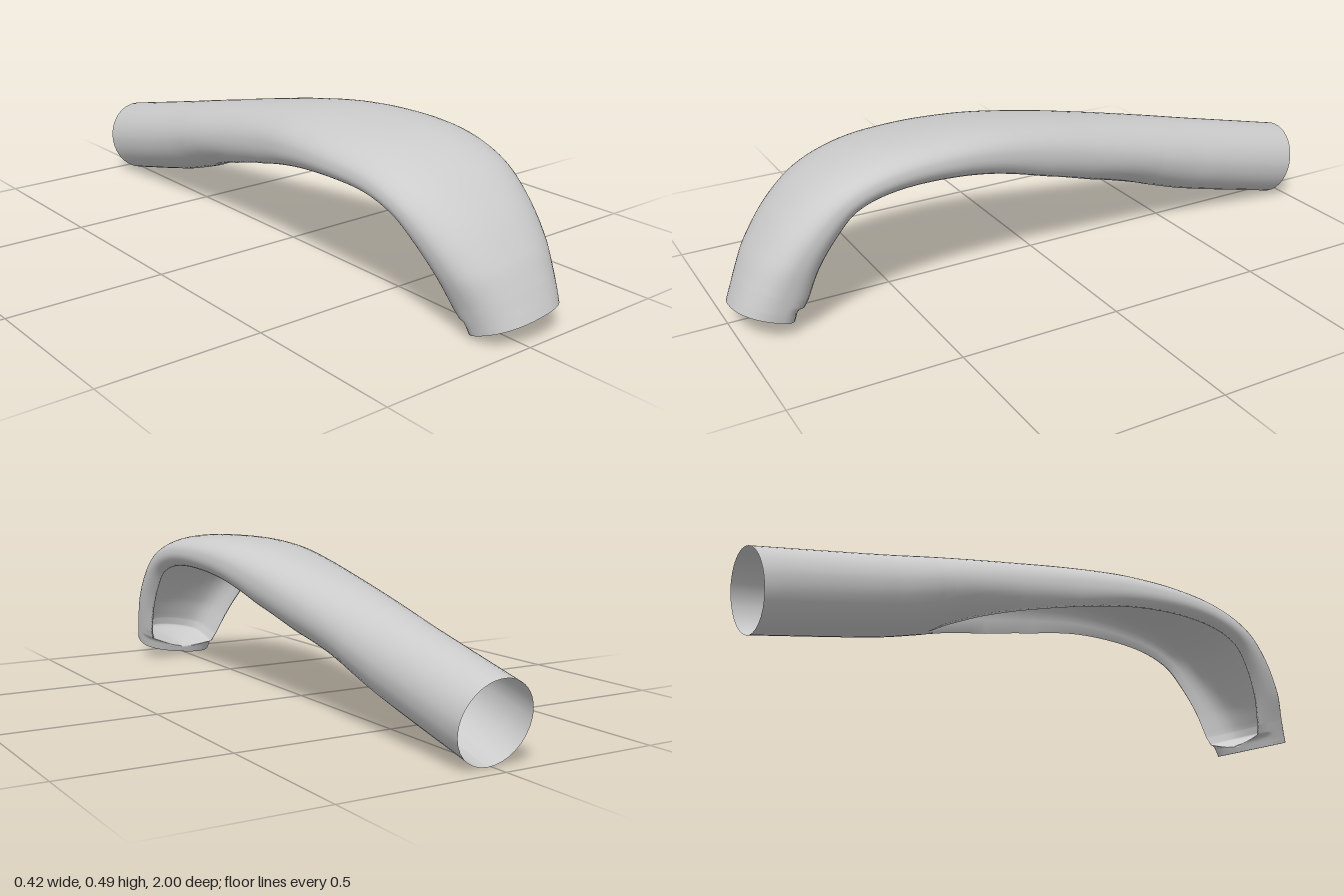
import * as THREE from 'three';

// Stations along the part: top z, top y, underside z, underside y, half width, centre x, sideways tilt, opening
const STATIONS = [
  [-1.0, 0.24, -0.943, 0.001, 0.118, 0.012, 0, 0],
  [-0.62, 0.325, -0.565, 0.092, 0.129, 0.005, 0, 0],
  [-0.48, 0.357, -0.42, 0.138, 0.136, 0.002, 0, 0],
  [-0.44, 0.366, -0.38, 0.153, 0.138, 0.001, 0.005, 0.25],
  [-0.34, 0.388, -0.285, 0.188, 0.143, 0, 0.015, 0.55],
  [-0.2, 0.418, -0.155, 0.233, 0.151, 0, 0.03, 0.82],
  [0.0, 0.457, 0.03, 0.295, 0.167, 0, 0.06, 1],
  [0.2, 0.483, 0.22, 0.343, 0.19, -0.004, 0.09, 1],
  [0.4, 0.487, 0.4, 0.363, 0.206, -0.004, 0.1, 1],
  [0.58, 0.468, 0.55, 0.358, 0.209, 0, 0.1, 1],
  [0.73, 0.412, 0.655, 0.325, 0.206, 0.004, 0.1, 1],
  [0.84, 0.328, 0.72, 0.26, 0.194, 0.012, 0.1, 1],
  [0.925, 0.225, 0.775, 0.175, 0.174, 0.023, 0.11, 1],
  [0.967, 0.15, 0.808, 0.09, 0.152, 0.034, 0.12, 1],
  [0.98, 0.122, 0.817, 0.06, 0.145, 0.037, 0.13, 0.9],
  [0.99, 0.1, 0.824, 0.037, 0.14, 0.039, 0.13, 0],
  [1.0, 0.076, 0.83, 0.016, 0.135, 0.04, 0.13, 0],
];

// Hollow from rim to middle: [share of opening width, share of depth]
const HOLLOW = [[0.96, 0.35], [0.9, 0.62], [0.78, 0.8], [0.62, 0.9], [0.42, 0.96], [0.2, 0.99], [0, 1]];
const TOP = 24;
const RIM = 8;
const RING = TOP + 2 * (RIM + HOLLOW.length) - 0;
const STEPS = 6;

const { lerp, smoothstep } = THREE.MathUtils;

// Smooth curve value from b to c, with a and d as outer neighbours
function spline(a, b, c, d, t) {
  return b + 0.5 * t * (c - a + t * (2 * a - 5 * b + 4 * c - d + t * (3 * (b - c) + d - a)));
}

function stationAt(i, t) {
  const at = (k) => STATIONS[Math.min(Math.max(k, 0), STATIONS.length - 1)];
  const dist = (k) => Math.hypot(at(k + 1)[0] - at(k)[0], at(k + 1)[1] - at(k)[1]);
  return STATIONS[0].map((_, c) => {
    const p = at(i)[c], q = at(i + 1)[c];
    // the opening and the short end steps run straight
    if (c === 7 || i >= 13) return lerp(p, q, t);
    // neighbours rescaled to the length of this step
    const before = i === 0 ? 2 * p - q : q - 2 * dist(i) * (q - at(i - 1)[c]) / (dist(i) + dist(i - 1));
    const after = p + 2 * dist(i) * (at(i + 2)[c] - p) / (dist(i) + dist(i + 1));
    return spline(before, p, q, after, t);
  });
}

// One closed cross-section: arched top, rounded rims, and a hollow as wide as the opening
function section([tz, ty, bz, by, w, cx, tilt, open]) {
  const len = Math.hypot(tz - bz, ty - by);
  const vz = (tz - bz) / len, vy = (ty - by) / len;
  const bowl = smoothstep(tz, -0.5, 0.2);
  const up = len * (0.5 + 0.14 * bowl), down = len - up;
  const bend = (v) => Math.sign(v) * Math.abs(v) ** (1 - 0.15 * bowl);

  // Underside half, from the widest point round the rim to the middle
  const rimAngle = lerp(Math.PI / 2, 0.6, open);
  const drop = down / lerp(1, bend(Math.sin(rimAngle)), open);
  const half = [];
  for (let k = 0; k <= RIM; k++) {
    const a = rimAngle * k / RIM;
    half.push([w * bend(Math.cos(a)), -drop * bend(Math.sin(a))]);
  }
  const [rimU, rimV] = half[RIM];
  const floor = lerp(rimV, up * 0.6, Math.sqrt(open));
  for (const [hu, hv] of HOLLOW) half.push([rimU * hu, lerp(rimV, floor, hv)]);

  const ring = [];
  for (let j = 1; j < TOP; j++) {
    const a = Math.PI * j / TOP;
    ring.push([w * bend(Math.cos(a)), up * bend(Math.sin(a))]);
  }
  ring.push(...half.map(([u, v]) => [-u, v]), ...half.slice(0, -1).reverse());
  return ring.flatMap(([u, v]) => [cx + u, ty + (v - up) * vy + tilt * u, tz + (v - up) * vz]);
}

function makeMesh(name, positions, index) {
  const geometry = new THREE.BufferGeometry();
  geometry.setAttribute('position', new THREE.Float32BufferAttribute(positions, 3));
  geometry.setIndex(index);
  geometry.computeVertexNormals();
  const mesh = new THREE.Mesh(geometry,
    new THREE.MeshStandardMaterial({ color: 0xcccccc, side: THREE.DoubleSide }));
  mesh.name = name;
  return mesh;
}

export function createModel() {
  const group = new THREE.Group();
  group.name = 'curvedHandle';

  // Open tube that widens into a hooked, hollowed shell
  const rows = [];
  for (let i = 0; i < STATIONS.length - 1; i++) {
    for (let s = 0; s < STEPS; s++) rows.push(section(stationAt(i, s / STEPS)));
  }
  const last = section(STATIONS[STATIONS.length - 1]);
  rows.push(last);
  const index = [];
  for (let r = 0; r < rows.length - 1; r++) {
    for (let j = 0; j < RING; j++) {
      const a = r * RING + j, b = r * RING + ((j + 1) % RING);
      index.push(a, b, a + RING, b, b + RING, a + RING);
    }
  }
  group.add(makeMesh('handleShell', rows.flat(), index));

  // Flat cap closing the hooked end
  const centre = [0, 1, 2].map((k) => (last[(TOP / 2 - 1) * 3 + k] + last[(TOP + RIM + HOLLOW.length - 1) * 3 + k]) / 2);
  const fan = [];
  for (let j = 0; j < RING; j++) fan.push(RING, j, (j + 1) % RING);
  group.add(makeMesh('endCap', [...last, ...centre], fan));

  return group;
}
